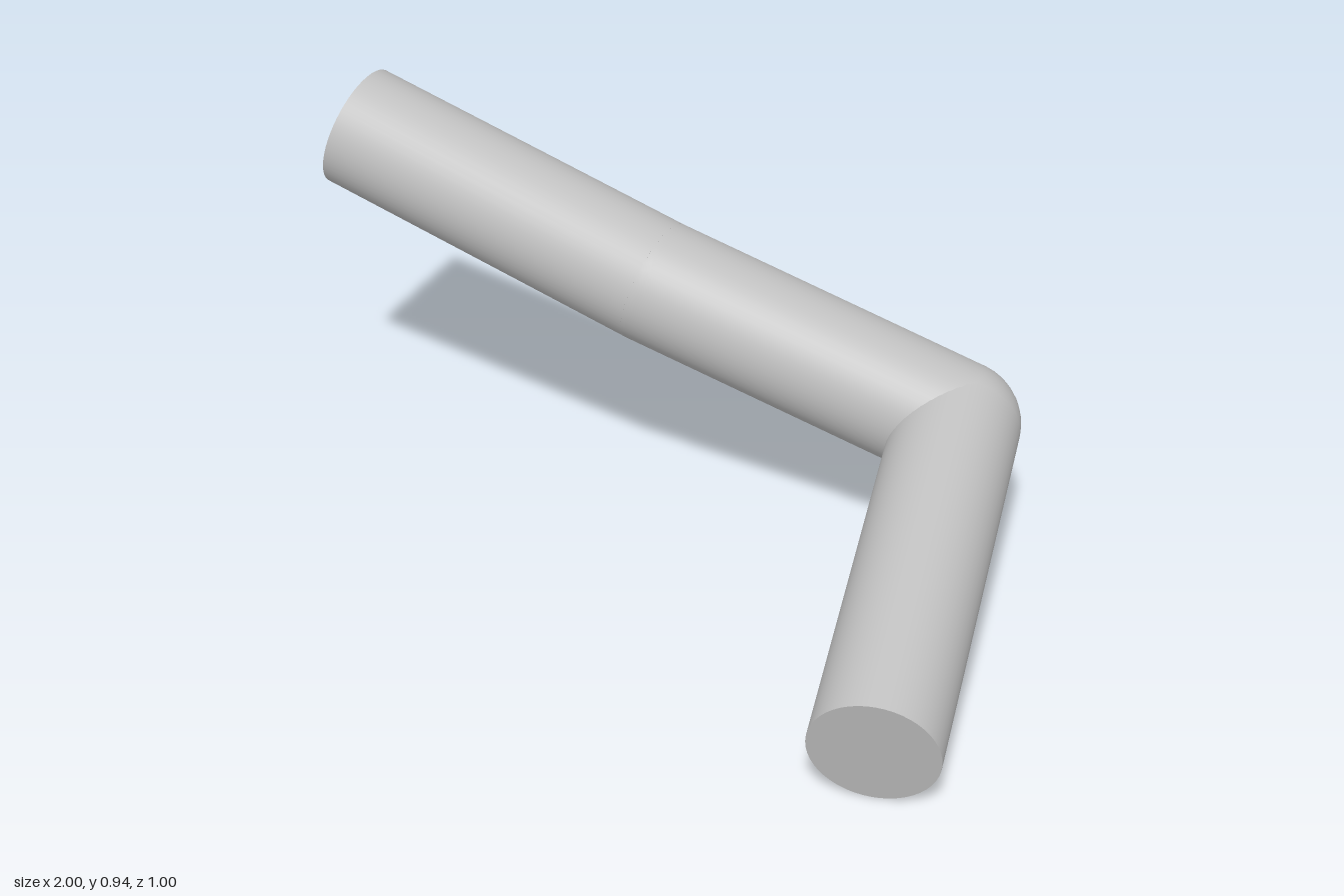
import * as THREE from 'three';

const RADIUS = 0.14;

export function createModel() {
  const group = new THREE.Group();
  group.name = 'bentRod';
  const grey = new THREE.MeshStandardMaterial({ color: 0xc0c0c0 });
  grey.name = 'plain grey';

  // Centre line: upper end, shallow bend, sharp elbow, lower end
  const points = [
    [-0.94, 0.807, 0.233],
    [-0.235, 0.595, -0.02],
    [0.375, 0.35, -0.36],
    [0.88, 0.137, 0.42],
  ].map((p) => new THREE.Vector3(...p));

  // Straight capped rods between neighbouring points
  const names = ['upperRod', 'middleRod', 'lowerRod'];
  const up = new THREE.Vector3(0, 1, 0);
  names.forEach((name, i) => {
    const axis = points[i + 1].clone().sub(points[i]);
    const rod = new THREE.Mesh(new THREE.CylinderGeometry(RADIUS, RADIUS, axis.length(), 48), grey);
    rod.name = name;
    rod.position.copy(points[i]).addScaledVector(axis, 0.5);
    rod.quaternion.setFromUnitVectors(up, axis.normalize());
    group.add(rod);
  });

  // Round joints filling the two bends
  ['bendJoint', 'elbowJoint'].forEach((name, i) => {
    const joint = new THREE.Mesh(new THREE.SphereGeometry(RADIUS, 40, 24), grey);
    joint.name = name;
    joint.position.copy(points[i + 1]);
    group.add(joint);
  });

  return group;
}
